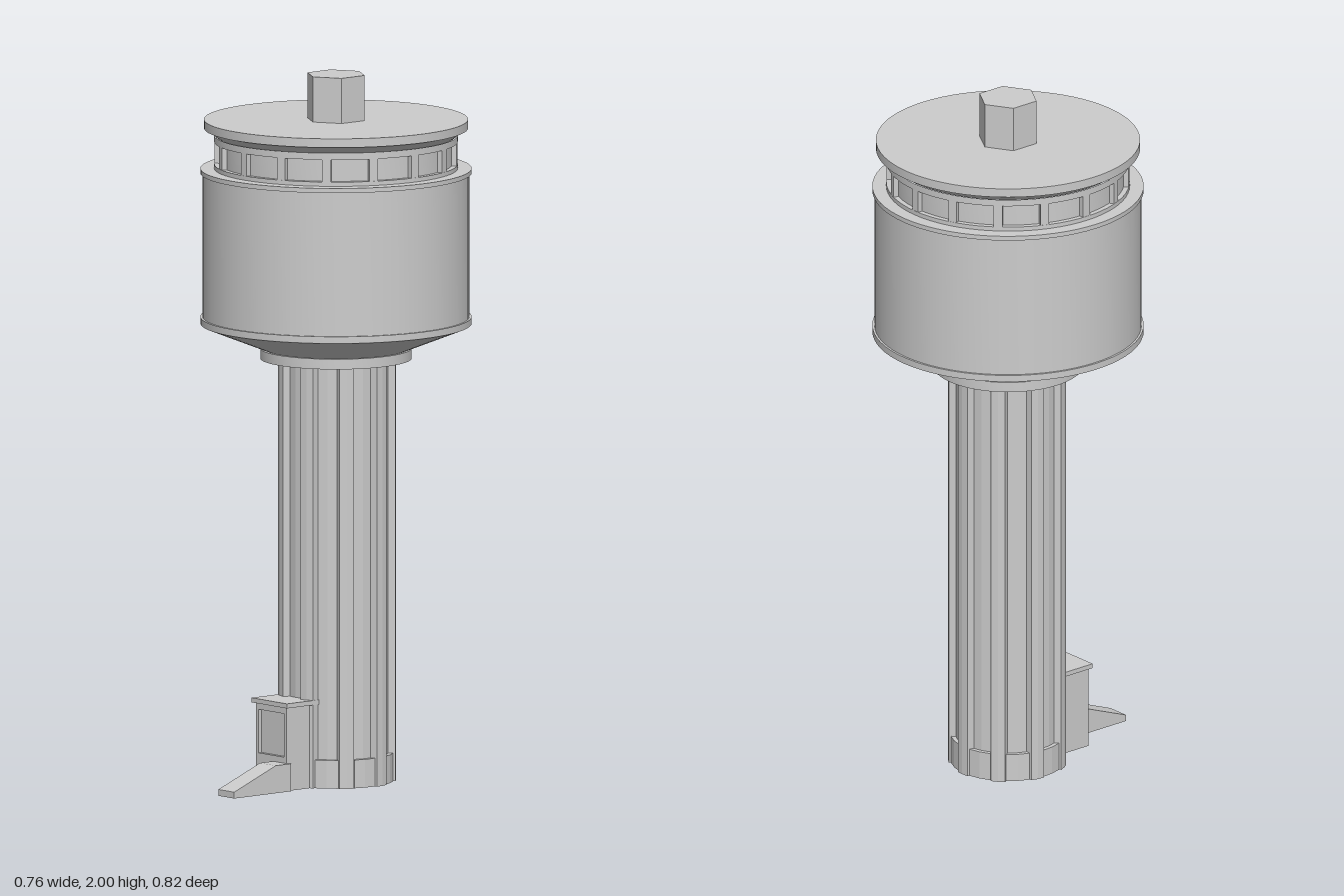
import * as THREE from 'three';
import { toCreasedNormals } from 'three/addons/utils/BufferGeometryUtils.js';

export function createModel() {
  const model = new THREE.Group();
  const concrete = new THREE.MeshStandardMaterial({ color: 0xcccccc });
  concrete.name = 'pale concrete';

  const tower = new THREE.Group();
  tower.name = 'tower';
  tower.position.z = -0.03;
  model.add(tower);

  function add(parent, name, geometry, x = 0, y = 0, z = 0) {
    const mesh = new THREE.Mesh(geometry, concrete);
    mesh.name = name;
    mesh.position.set(x, y, z);
    parent.add(mesh);
    return mesh;
  }
  // Round part from a bottom-to-top profile of [radius, height]
  function turned(name, profile) {
    const points = profile.map(([r, y]) => new THREE.Vector2(r, y));
    return add(tower, name, toCreasedNormals(new THREE.LatheGeometry(points, 72), 0.4));
  }
  // Upright prism from a plan of [angle in degrees, radius], angle 0 facing front
  function prism(plan, height) {
    const shape = new THREE.Shape(plan.map(([a, r]) => {
      const t = THREE.MathUtils.degToRad(a);
      return new THREE.Vector2(r * Math.sin(t), -r * Math.cos(t));
    }));
    return new THREE.ExtrudeGeometry(shape, { depth: height, bevelEnabled: false }).rotateX(-Math.PI / 2);
  }

  // Fluted shaft: nine raised panels between nine recesses
  const fluted = [];
  for (let i = 0; i < 9; i++) {
    const a = i * 40;
    fluted.push([a - 10.5, 0.148], [a, 0.149], [a + 10.5, 0.148],
      [a + 13, 0.167], [a + 20, 0.168], [a + 27, 0.167]);
  }
  add(tower, 'fluted shaft', prism(fluted, 1.2));

  // Low blocks filling the foot of each recess
  for (let i = 0; i < 9; i++) {
    const a = i * 40;
    add(tower, 'flute foot', prism([[a - 12, 0.14], [a - 12, 0.161], [a, 0.161], [a + 12, 0.161], [a + 12, 0.14]], 0.08));
  }

  // Collar and main drum
  turned('collar', [[0, 1.195], [0.212, 1.195], [0.212, 1.224], [0, 1.224]]);
  turned('drum', [
    [0.2, 1.222], [0.38, 1.294], [0.38, 1.313], [0.374, 1.313],
    [0.374, 1.72], [0.38, 1.72], [0.38, 1.733], [0.32, 1.733],
  ]);

  // Window band with a recessed wall, sill and lintel
  turned('window band', [
    [0.341, 1.733], [0.341, 1.745], [0.326, 1.745],
    [0.326, 1.808], [0.341, 1.808], [0.341, 1.827],
  ]);
  for (let i = 0; i < 16; i++) {
    const post = add(tower, 'window post', new THREE.BoxGeometry(0.025, 0.07, 0.02).translate(0, 0, 0.33), 0, 1.777, 0);
    post.rotation.y = i * Math.PI / 8;
  }

  // Flared roof and hexagonal cap
  turned('roof', [[0.335, 1.825], [0.363, 1.847], [0.37, 1.847], [0.37, 1.872], [0, 1.872]]);
  add(tower, 'roof cap', toCreasedNormals(new THREE.CylinderGeometry(0.085, 0.085, 0.13, 6), 0.4), 0, 1.935, 0);

  // Entrance porch with a recessed front panel
  const porch = new THREE.Group();
  porch.name = 'porch';
  model.add(porch);
  add(porch, 'porch body', new THREE.BoxGeometry(0.132, 0.237, 0.1), 0, 0.1185, 0.148);
  add(porch, 'porch roof', new THREE.BoxGeometry(0.152, 0.013, 0.13), 0, 0.2425, 0.151);
  const front = new THREE.Shape();
  front.moveTo(-0.066, 0).lineTo(0.066, 0).lineTo(0.066, 0.237).lineTo(-0.066, 0.237).closePath();
  const opening = new THREE.Path();
  opening.moveTo(-0.055, 0.095).lineTo(-0.055, 0.218).lineTo(0.055, 0.218).lineTo(0.055, 0.095).closePath();
  front.holes.push(opening);
  add(porch, 'porch frame', new THREE.ExtrudeGeometry(front, { depth: 0.012, bevelEnabled: false }), 0, 0, 0.197);

  // Ramp leading up to the porch, set to its left side
  const side = new THREE.Shape();
  side.moveTo(0.2, 0).lineTo(0.41, 0).lineTo(0.41, 0.018).lineTo(0.257, 0.078).lineTo(0.2, 0.078).closePath();
  const ramp = new THREE.ExtrudeGeometry(side, { depth: 0.068, bevelEnabled: false }).rotateY(-Math.PI / 2);
  add(model, 'ramp', ramp, 0.076, 0, 0);

  return model;
}
